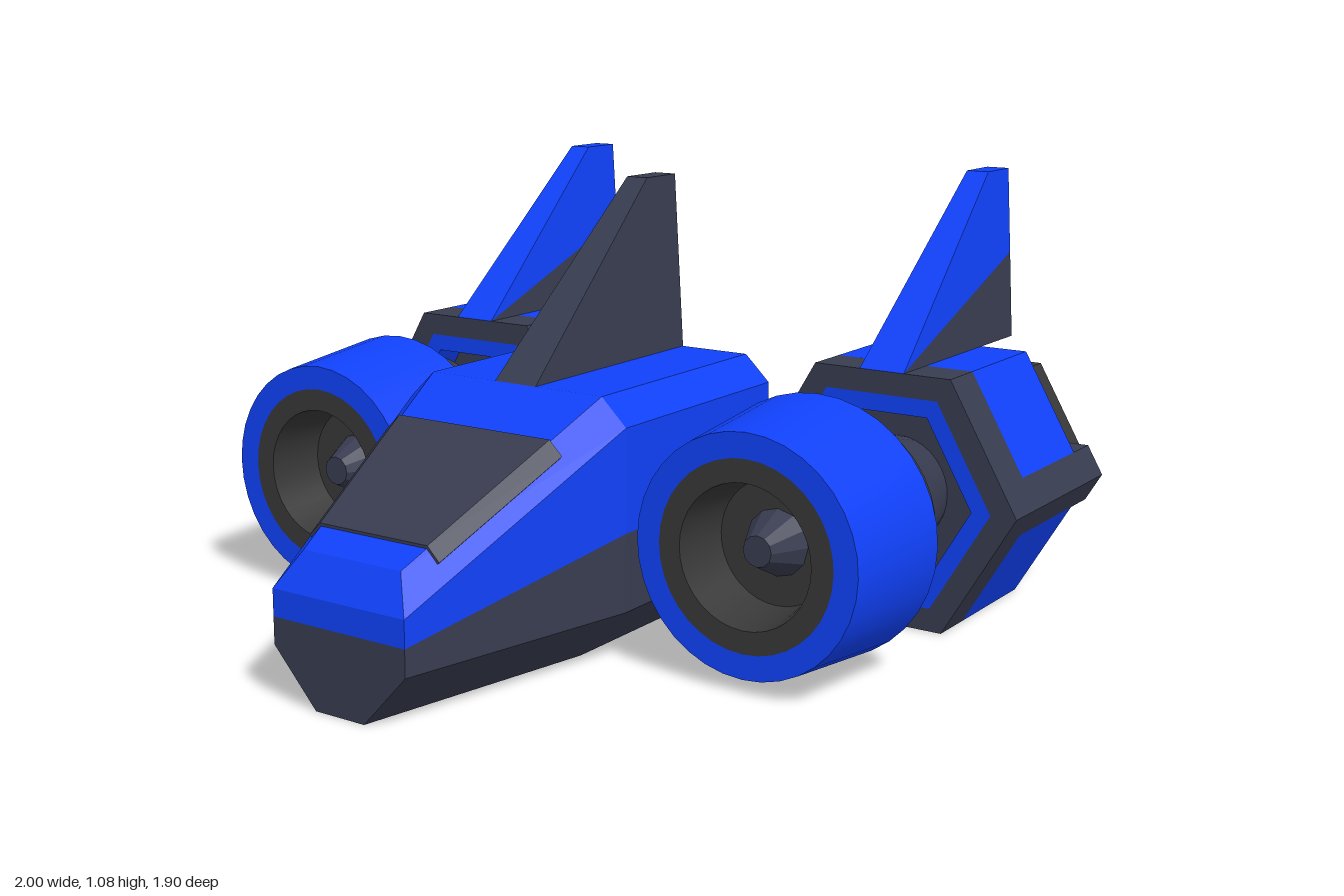
import * as THREE from 'three';
import { toCreasedNormals } from 'three/addons/utils/BufferGeometryUtils.js';

const paint = (color) => new THREE.MeshStandardMaterial({ color });
const BLUE = paint(0x1041fa);
const SLATE = paint(0x383c50);
const CHARCOAL = paint(0x383838);

function add(group, name, geometry, material) {
  const mesh = new THREE.Mesh(geometry, material);
  mesh.name = name;
  group.add(mesh);
  return mesh;
}

// Flat-sided solid through mirrored sections, listed back to front.
// Each section gives its +x half from bottom to top as [x, y, z].
function loft(sections) {
  const rings = sections.map((half) => [
    ...half,
    ...half.slice().reverse().map(([x, y, z]) => [-x, y, z]),
  ]);
  const n = rings[0].length;
  const pos = [];
  const quad = (a, b, c, d) => pos.push(...a, ...b, ...c, ...a, ...c, ...d);
  for (let r = 0; r < rings.length - 1; r++) {
    const a = rings[r], b = rings[r + 1];
    for (let i = 0; i < n; i++) {
      const j = (i + 1) % n;
      quad(a[i], a[j], b[j], b[i]);
    }
  }
  const back = rings[0], front = rings[rings.length - 1];
  for (let i = 0; i < n / 2 - 1; i++) {
    quad(front[i], front[i + 1], front[n - 2 - i], front[n - 1 - i]);
    quad(back[n - 1 - i], back[n - 2 - i], back[i + 1], back[i]);
  }
  const geometry = new THREE.BufferGeometry();
  geometry.setAttribute('position', new THREE.Float32BufferAttribute(pos, 3));
  geometry.computeVertexNormals();
  return geometry;
}

// Round part about the z axis, profile as [radius, z]
function turned(profile, sides = 36) {
  const lathe = new THREE.LatheGeometry(profile.map(([r, z]) => new THREE.Vector2(r, z)), sides);
  return toCreasedNormals(lathe.rotateX(Math.PI / 2), 0.45);
}

// Prism along z between two depths, with an optional hole
function prism(points, z0, z1, hole) {
  const toVec = (list) => list.map(([x, y]) => new THREE.Vector2(x, y));
  const shape = new THREE.Shape(toVec(points));
  if (hole) shape.holes.push(new THREE.Path(toVec(hole)));
  const geometry = new THREE.ExtrudeGeometry(shape, { depth: z1 - z0, bevelEnabled: false });
  return geometry.translate(0, 0, z0);
}

const hex = (r) => Array.from({ length: 6 }, (_, k) => [
  r * Math.cos((k * Math.PI) / 3), r * Math.sin((k * Math.PI) / 3),
]);

function createHull() {
  const hull = new THREE.Group();
  hull.name = 'hull';
  const lower = (z) => [[0.19, 0, z], [0.318, 0.13, z], [0.318, 0.32, z]];
  const upper = (z) => [[0.318, 0.32, z], [0.318, 0.57, z], [0.25, 0.635, z]];
  add(hull, 'lowerHull', loft([
    lower(-0.318), lower(0.318),
    [[0.07, 0, 0.95], [0.19, 0.13, 0.95], [0.19, 0.195, 0.95]],
  ]), SLATE);
  add(hull, 'upperHull', loft([
    upper(-0.318), upper(0.318),
    [[0.19, 0.195, 0.95], [0.19, 0.26, 0.95], [0.14, 0.345, 0.9]],
  ]), BLUE);

  // Canopy plate wrapped over the sloping top and half of each chamfer
  const plate = (z) => {
    const a = (z - 0.318) / 0.582, b = (z - 0.318) / 0.632;
    const top = [0.25 - 0.11 * a, 0.635 - 0.29 * a];
    const side = [0.318 - 0.128 * b, 0.57 - 0.31 * b];
    const mid = [(top[0] + side[0]) / 2, (top[1] + side[1]) / 2];
    return [
      [mid[0] - 0.02, mid[1] - 0.02, z],
      [mid[0] + 0.004, mid[1] + 0.005, z],
      [top[0] + 0.002, top[1] + 0.007, z],
    ];
  };
  add(hull, 'canopy', loft([plate(0.48), plate(0.83)]), SLATE);

  // Swept dorsal fin
  add(hull, 'dorsalFin', loft([
    [[0.06, 0.63, -0.318], [0.03, 1.08, -0.318]],
    [[0.06, 0.635, 0.318], [0.03, 1.08, -0.19]],
  ]), SLATE);
  return hull;
}

function createEngine(name, x) {
  const engine = new THREE.Group();
  engine.name = name;
  const core = new THREE.Group();
  core.name = 'engineCore';
  core.position.y = 0.318;
  engine.add(core);
  const R = 0.3666;

  // Intake drum, bore and hub
  add(core, 'intakeCowl', turned([[0, 0], [0.317, 0], [0.285, 0.317], [0.225, 0.317]]), BLUE);
  add(core, 'intakeBore', turned([[0.225, 0.317], [0.17, 0.317], [0.15, 0.17], [0, 0.17]]), CHARCOAL);
  add(core, 'intakeHub', turned([[0.08, 0.17], [0.037, 0.26], [0, 0.26]], 12), SLATE);

  // Neck joining the drum to the housing
  add(core, 'neckRing', turned([[0, -0.127], [0.25, -0.127], [0.25, 0]]), CHARCOAL);
  add(core, 'neckCone', turned([[0.139, -0.42], [0.215, -0.127]]), SLATE);

  // Hexagonal housing with an open front
  add(core, 'housingFrame', prism(hex(R), -0.44, -0.318, hex(0.3)), SLATE);
  add(core, 'housingLip', prism(hex(0.3), -0.44, -0.318, hex(0.25)), BLUE);
  add(core, 'housingFloor', prism(hex(0.25), -0.44, -0.42), SLATE);
  add(core, 'housingPanels', prism([
    [0.325, -0.072], [0.325, 0.072], [R / 2, 0.3175], [-R / 2, 0.3175],
    [-0.325, 0.072], [-0.325, -0.072], [-R / 2, -0.3175], [R / 2, -0.3175],
  ], -0.76, -0.44), BLUE);
  for (const s of [1, -1]) {
    const bracket = [[R, 0], [0.325, 0.072], [0.255, 0.072], [0.255, -0.072], [0.325, -0.072]];
    add(core, 'sideBracket', prism(bracket.map(([px, py]) => [s * px, py]), -0.855, -0.44), SLATE);
  }

  // Exhaust block
  add(core, 'exhaustFrame', prism(hex(0.2916), -0.95, -0.76, hex(0.225)), CHARCOAL);
  add(core, 'exhaustPlate', prism(hex(0.225), -0.95, -0.76), BLUE);

  // Two-tone tail fin
  add(engine, 'finBase', loft([
    [[0.06, 0.635, -0.95], [0.045, 0.86, -0.95]],
    [[0.06, 0.635, -0.318], [0.06, 0.635, -0.318]],
  ]), SLATE);
  add(engine, 'finBlade', loft([
    [[0.045, 0.86, -0.95], [0.03, 1.08, -0.95]],
    [[0.06, 0.635, -0.318], [0.03, 1.08, -0.825]],
  ]), BLUE);
  engine.position.x = x;
  return engine;
}

export function createModel() {
  const model = new THREE.Group();
  model.name = 'spacecraft';
  model.add(createHull(), createEngine('leftEngine', 0.634), createEngine('rightEngine', -0.634));
  return model;
}
